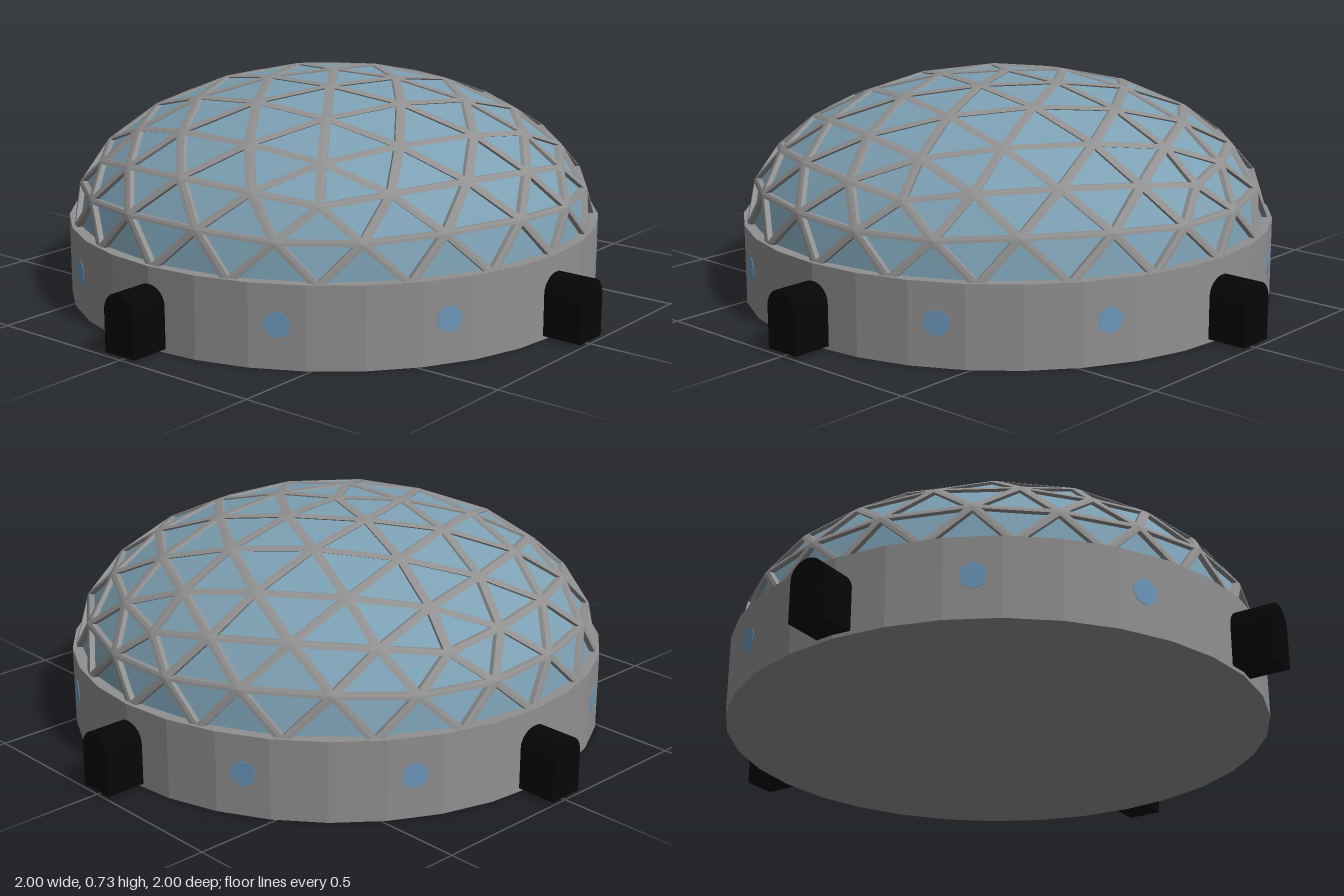
import * as THREE from 'three';

const grey = new THREE.MeshStandardMaterial({ color: 0x909090, flatShading: true });
const glass = new THREE.MeshStandardMaterial({ color: 0x7ca0b3, flatShading: true });
const windowBlue = new THREE.MeshStandardMaterial({ color: 0x6c98bc, flatShading: true });
const black = new THREE.MeshStandardMaterial({ color: 0x060606 });

const DOME_Y = 0.25, DOME_R = 0.865, DOME_H = 0.482;
const STRUT_HALF_WIDTH = 0.015;
const BASE_R = 0.875, BASE_H = 0.26, BASE_SIDES = 32;

function part(name, geometry, material) {
  const mesh = new THREE.Mesh(geometry, material);
  mesh.name = name;
  return mesh;
}

// Upper half of a geodesic sphere with a five-way vertex at the top, as triangles
function domeTriangles() {
  const geo = new THREE.IcosahedronGeometry(1, 3);
  geo.rotateZ(-Math.atan2(1, (1 + Math.sqrt(5)) / 2));
  const pos = geo.attributes.position, triangles = [];
  for (let i = 0; i < pos.count; i += 3) {
    const tri = [0, 1, 2].map(k => new THREE.Vector3().fromBufferAttribute(pos, i + k));
    if (tri[0].y + tri[1].y + tri[2].y > 0.05) triangles.push(tri);
  }
  return triangles;
}

// Flattened shell geometry from a list of sphere points
function domeGeometry(points) {
  const geo = new THREE.BufferGeometry().setFromPoints(points);
  geo.scale(1, DOME_H / DOME_R, 1);
  geo.translate(0, DOME_Y, 0);
  geo.computeVertexNormals();
  return geo;
}

// Move a strut point down to the glass; the recess is shallower near the top
const sink = p => new THREE.Vector3(p.x * 0.98, p.y * 0.992, p.z * 0.98);

function createDome() {
  const panes = [], struts = [];
  for (const tri of domeTriangles()) {
    const outer = tri.map(p => p.clone().multiplyScalar(DOME_R));
    panes.push(...outer.map(sink));

    // Inset the triangle evenly towards its incentre
    const [a, b, c] = outer;
    const la = b.distanceTo(c), lb = c.distanceTo(a), lc = a.distanceTo(b);
    const perimeter = la + lb + lc;
    const centre = new THREE.Vector3().addScaledVector(a, la / perimeter)
      .addScaledVector(b, lb / perimeter).addScaledVector(c, lc / perimeter);
    const inradius = 2 * new THREE.Triangle(a, b, c).getArea() / perimeter;
    const inset = outer.map(p => p.clone().lerp(centre, STRUT_HALF_WIDTH / inradius));
    const floor = inset.map(sink);

    // Strut faces and the side walls down to the glass
    for (let i = 0; i < 3; i++) {
      const j = (i + 1) % 3;
      struts.push(outer[i], outer[j], inset[j], outer[i], inset[j], inset[i]);
      struts.push(inset[i], inset[j], floor[j], inset[i], floor[j], floor[i]);
    }
  }
  const dome = new THREE.Group();
  dome.name = 'dome';
  dome.add(part('glassPanes', domeGeometry(panes), glass));
  dome.add(part('struts', domeGeometry(struts), grey));
  return dome;
}

// Round-topped entrance block that faces +z
function doorGeometry() {
  const w = 0.06, bottom = 0.012, spring = 0.145;
  const shape = new THREE.Shape();
  shape.moveTo(-w, bottom);
  shape.lineTo(w, bottom);
  shape.lineTo(w, spring);
  shape.absarc(0, spring, w, 0, Math.PI, false);
  shape.closePath();
  const geo = new THREE.ExtrudeGeometry(shape, { depth: 0.2, bevelEnabled: false, curveSegments: 12 });
  geo.translate(0, 0, 0.8);
  return geo;
}

export function createModel() {
  const model = new THREE.Group();
  model.name = 'geodesicDome';

  // Drum-shaped base
  const base = new THREE.CylinderGeometry(BASE_R, BASE_R, BASE_H, BASE_SIDES);
  base.translate(0, BASE_H / 2, 0);
  model.add(part('base', base, grey), createDome());

  // Four entrances, with a nearly flush round window on a facet either side of each
  const door = doorGeometry();
  const pane = new THREE.CylinderGeometry(0.04, 0.04, 0.02, 16);
  pane.rotateX(Math.PI / 2);
  const facetDistance = BASE_R * Math.cos(Math.PI / BASE_SIDES);
  pane.translate(0, 0.137, facetDistance - 0.0085);
  for (let k = 0; k < 4; k++) {
    const entrance = part('entrance', door, black);
    entrance.rotation.y = k * Math.PI / 2;
    model.add(entrance);
    for (const side of [-1, 1]) {
      const porthole = part('roundWindow', pane, windowBlue);
      porthole.rotation.y = k * Math.PI / 2 + side * 2.5 * (2 * Math.PI / BASE_SIDES);
      model.add(porthole);
    }
  }
  return model;
}
